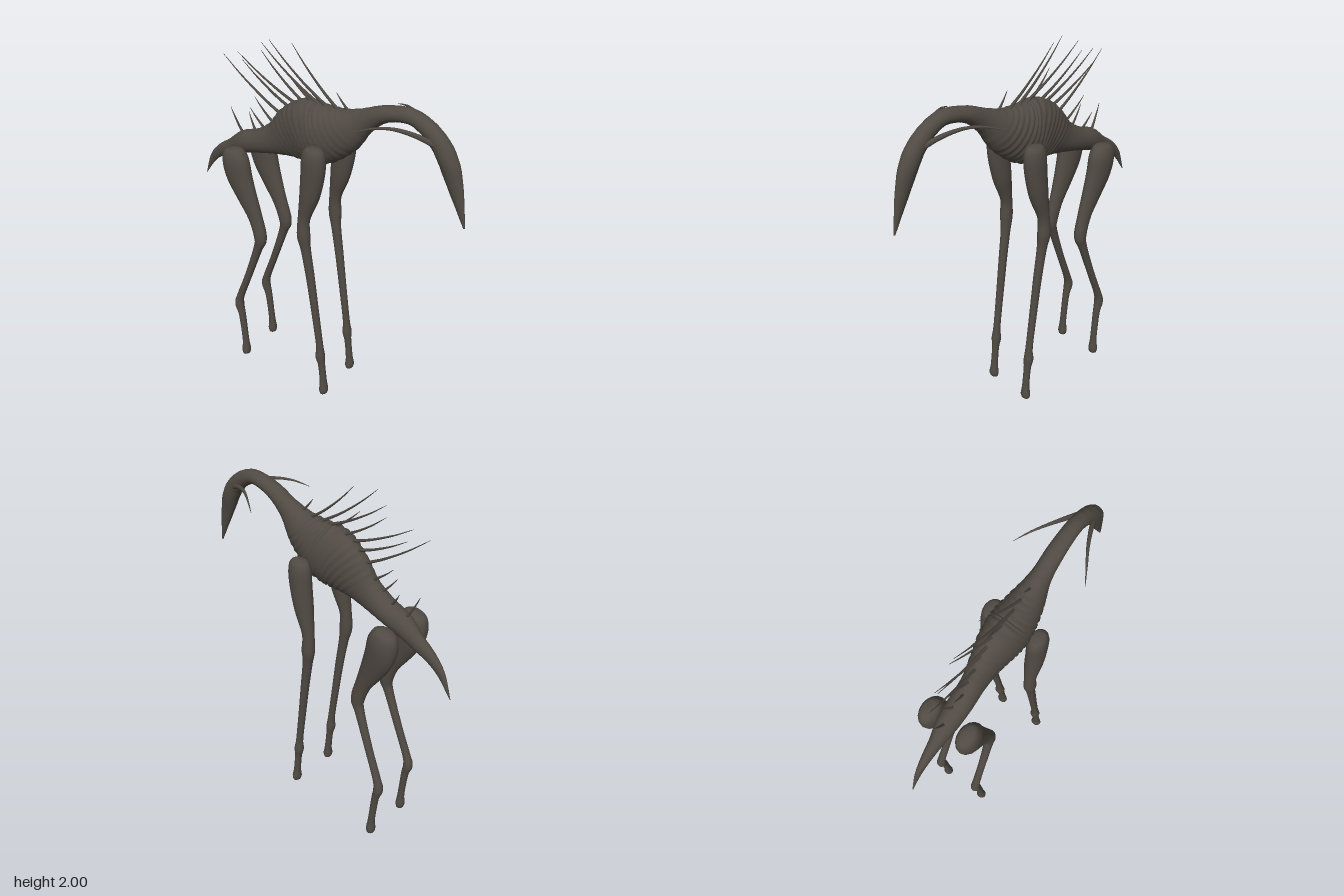
import * as THREE from 'three';

const hide = new THREE.MeshStandardMaterial({ color: 0x504a43 });
hide.name = 'dark hide';

// Skin elliptical sections [x, y, z, halfWidth, halfDepth] along a smooth path.
// bump(center, angle) optionally scales the radius.
function loft(name, sections, rings, sides, bump) {
  const path = new THREE.CatmullRomCurve3(
    sections.map(s => new THREE.Vector3(s[0], s[1], s[2])), false, 'catmullrom', 0.5);
  const size = new THREE.CatmullRomCurve3(
    sections.map(s => new THREE.Vector3(s[3], s[4], 0)), false, 'catmullrom', 0.5);
  const pos = [], index = [];
  const p = new THREE.Vector3();
  for (let i = 0; i <= rings; i++) {
    const t = i / rings;
    const c = path.getPoint(t), r = size.getPoint(t), dir = path.getTangent(t);
    const up = dir.clone().cross(new THREE.Vector3(1, 0, 0)).normalize();
    const side = up.clone().cross(dir).normalize();
    for (let j = 0; j < sides; j++) {
      const a = j / sides * Math.PI * 2;
      const k = bump ? bump(c, r, a) : 1;
      p.copy(c)
        .addScaledVector(side, Math.max(r.x, 0.0008) * Math.cos(a) * k)
        .addScaledVector(up, Math.max(r.y, 0.0008) * Math.sin(a) * k);
      pos.push(p.x, p.y, p.z);
      if (i < rings) {
        const n = i * sides + j, m = i * sides + (j + 1) % sides;
        index.push(n, m, n + sides, m, m + sides, n + sides);
      }
    }
  }
  // Close both ends
  const first = pos.length / 3, last = rings * sides;
  pos.push(...path.getPoint(0).toArray(), ...path.getPoint(1).toArray());
  for (let j = 0; j < sides; j++) {
    const k = (j + 1) % sides;
    index.push(first, k, j, first + 1, last + j, last + k);
  }
  const geo = new THREE.BufferGeometry();
  geo.setAttribute('position', new THREE.Float32BufferAttribute(pos, 3));
  geo.setIndex(index);
  geo.computeVertexNormals();
  const mesh = new THREE.Mesh(geo, hide);
  mesh.name = name;
  return mesh;
}

// Head, neck, trunk and tail: [z, y, halfWidth, halfDepth]
const BODY = [
  [0.812, 1.322, 0.004, 0.004], [0.778, 1.43, 0.016, 0.024], [0.737, 1.55, 0.03, 0.043],
  [0.702, 1.635, 0.042, 0.048], [0.655, 1.708, 0.043, 0.046], [0.58, 1.772, 0.04, 0.041],
  [0.49, 1.803, 0.04, 0.037], [0.36, 1.777, 0.045, 0.041], [0.25, 1.712, 0.052, 0.064],
  [0.14, 1.635, 0.085, 0.115], [0.02, 1.585, 0.108, 0.157], [-0.08, 1.567, 0.1, 0.168],
  [-0.18, 1.527, 0.075, 0.14], [-0.28, 1.472, 0.06, 0.092], [-0.39, 1.425, 0.06, 0.067],
  [-0.5, 1.388, 0.054, 0.062], [-0.59, 1.335, 0.036, 0.046], [-0.68, 1.285, 0.024, 0.034],
  [-0.75, 1.218, 0.014, 0.022], [-0.812, 1.105, 0.002, 0.002],
];

// Ribs on the flanks, and low vertebra bumps along the back and neck
function bodyBumps(c, r, a) {
  const cage = THREE.MathUtils.smoothstep(c.z, -0.27, -0.18) * (1 - THREE.MathUtils.smoothstep(c.z, 0.12, 0.2));
  const slant = c.z - 0.25 * r.y * Math.sin(a);
  const rib = Math.pow(0.5 + 0.5 * Math.cos(slant * Math.PI * 2 / 0.031), 1.5) - 0.4;
  const spine = 0.02 * Math.max(0, Math.abs(Math.sin(a)) - 0.4) * Math.cos(c.z * Math.PI * 2 / 0.04);
  return 1 + 0.065 * cage * Math.abs(Math.cos(a)) * rib + spine;
}

// Legs: [x, y, z, halfWidth, halfDepth]
const FRONT_LEG = [
  [0.132, 1.566, 0.05, 0.008, 0.012], [0.132, 1.555, 0.05, 0.036, 0.048],
  [0.133, 1.51, 0.048, 0.048, 0.066], [0.134, 1.42, 0.042, 0.048, 0.066],
  [0.135, 1.29, 0.022, 0.045, 0.055], [0.14, 1.15, -0.01, 0.031, 0.034],
  [0.143, 1.045, -0.012, 0.033, 0.037], [0.139, 0.96, -0.002, 0.026, 0.028],
  [0.136, 0.78, 0.025, 0.023, 0.024], [0.134, 0.55, 0.055, 0.021, 0.021],
  [0.133, 0.34, 0.082, 0.021, 0.02], [0.134, 0.265, 0.087, 0.028, 0.027],
  [0.133, 0.2, 0.096, 0.021, 0.02], [0.133, 0.08, 0.108, 0.022, 0.02],
  [0.134, 0.025, 0.111, 0.03, 0.025], [0.134, 0, 0.111, 0.026, 0.02],
];
const HIND_LEG = [
  [0.11, 1.4, -0.49, 0.01, 0.015], [0.11, 1.385, -0.488, 0.042, 0.06],
  [0.112, 1.33, -0.482, 0.056, 0.083], [0.112, 1.24, -0.464, 0.052, 0.083],
  [0.11, 1.13, -0.42, 0.042, 0.066], [0.109, 1.01, -0.368, 0.033, 0.045],
  [0.112, 0.89, -0.335, 0.032, 0.038], [0.115, 0.81, -0.356, 0.024, 0.026],
  [0.12, 0.6, -0.432, 0.021, 0.021], [0.124, 0.43, -0.498, 0.022, 0.022],
  [0.125, 0.36, -0.513, 0.027, 0.027], [0.126, 0.28, -0.496, 0.021, 0.021],
  [0.128, 0.1, -0.48, 0.02, 0.02], [0.129, 0.028, -0.478, 0.028, 0.026],
  [0.129, 0, -0.478, 0.024, 0.021],
];
const HORN = [
  [0.022, 1.7, 0.665, 0.012, 0.014], [0.058, 1.745, 0.57, 0.011, 0.013],
  [0.105, 1.772, 0.47, 0.008, 0.009], [0.155, 1.77, 0.385, 0.005, 0.005],
  [0.2, 1.745, 0.31, 0.001, 0.001],
];

// Back quills: [root z, root y, tip z, tip y]
const QUILLS = [
  [0.18, 1.72, 0.095, 1.82], [0.12, 1.71, -0.19, 1.995], [0.045, 1.72, -0.295, 2.0],
  [0.0, 1.72, -0.375, 1.963], [-0.03, 1.715, -0.2, 1.86], [-0.09, 1.7, -0.39, 1.915],
  [-0.12, 1.68, -0.515, 1.89], [-0.17, 1.65, -0.51, 1.84], [-0.21, 1.59, -0.6, 1.865],
  [-0.28, 1.53, -0.435, 1.66], [-0.34, 1.48, -0.445, 1.605], [-0.42, 1.45, -0.49, 1.555],
  [-0.51, 1.42, -0.585, 1.57],
];

export function createModel() {
  const model = new THREE.Group();
  model.name = 'creature';
  model.add(loft('body', BODY.map(([z, y, w, h]) => [0, y, z, w, h]), 340, 28, bodyBumps));

  // Paired parts
  for (const [word, s] of [['left', 1], ['right', -1]]) {
    const flip = list => list.map(([x, ...rest]) => [x * s, ...rest]);
    model.add(loft(word + 'FrontLeg', flip(FRONT_LEG), 75, 16));
    model.add(loft(word + 'HindLeg', flip(HIND_LEG), 70, 16));
    model.add(loft(word + 'Horn', flip(HORN), 16, 8));
  }

  // Quills bow slightly upward and lean alternately to each side
  const quills = new THREE.Group();
  quills.name = 'backQuills';
  QUILLS.forEach(([z0, y0, z1, y1], i) => {
    const lean = (i % 2 ? 1 : -1) * (0.01 + 0.007 * (i % 3));
    const len = Math.hypot(z1 - z0, y1 - y0);
    const at = (t, r) => {
      const bow = Math.sin(t * Math.PI) * len * 0.03;
      return [lean * t, y0 + (y1 - y0) * t - bow, z0 + (z1 - z0) * t - bow * 0.6, r, r];
    };
    quills.add(loft('quill', [at(0, 0.009), at(0.35, 0.0065), at(0.7, 0.004), at(1, 0.001)], 10, 6));
  });
  model.add(quills);
  return model;
}
